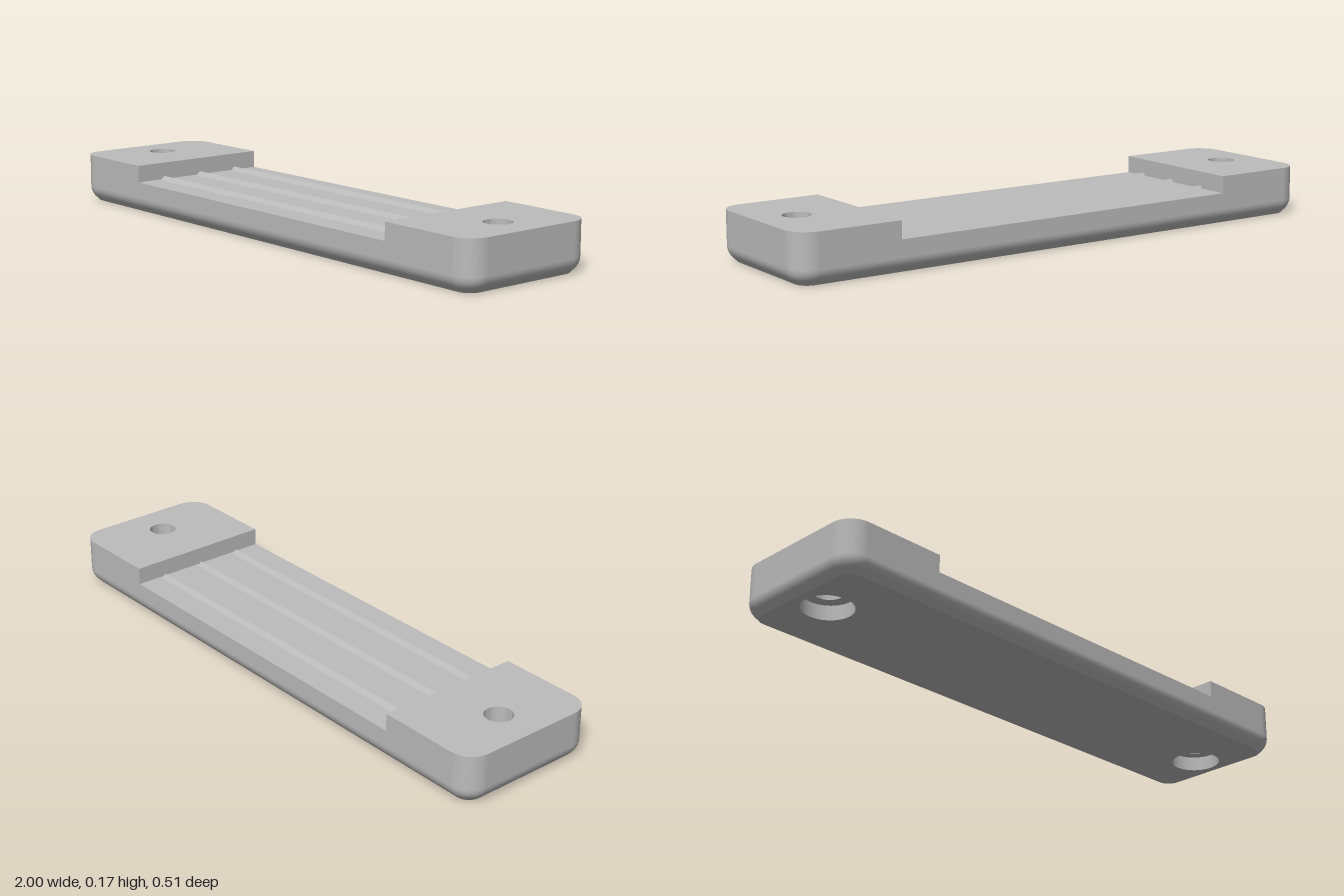
import * as THREE from 'three';
import { toCreasedNormals } from 'three/addons/utils/BufferGeometryUtils.js';

const HALF_X = 1, HALF_Z = 0.256, CORNER = 0.075;
const FLOOR_Y = 0.108, TOP_Y = 0.167, STEP_X = 0.643;
const EDGE = 0.0525;                       // rounded lower edge, ending in a 45 degree chamfer
const HOLE_X = 0.86, HOLE_R = 0.046, BORE_R = 0.084, BORE_DEPTH = 0.05;

// Rounded-rectangle corner arcs: centre x, z and direction of each point
function arcs(quadrants) {
  const out = [], n = 10;
  for (const q of quadrants) {
    for (let i = 0; i <= n; i++) {
      const a = (q + i / n) * Math.PI / 2;
      const mid = (q + 0.5) * Math.PI / 2;
      out.push({
        cx: Math.sign(Math.cos(mid)) * (HALF_X - CORNER),
        cz: Math.sign(Math.sin(mid)) * (HALF_Z - CORNER),
        dx: Math.cos(a), dz: Math.sin(a),
      });
    }
  }
  return out;
}

const at = (p, inset) => [p.cx + p.dx * (CORNER - inset), p.cz + p.dz * (CORNER - inset)];

// Side wall swept along a path through rows of { inset, y, tilt }
function wall(path, rows) {
  const pos = [], nor = [], idx = [], n = path.length;
  for (const r of rows) {
    for (const p of path) {
      const [x, z] = at(p, r.inset);
      pos.push(x, r.y, z);
      nor.push(p.dx * Math.cos(r.tilt), -Math.sin(r.tilt), p.dz * Math.cos(r.tilt));
    }
  }
  for (let j = 0; j < rows.length - 1; j++) {
    for (let i = 0; i < n - 1; i++) {
      const a = j * n + i, b = a + n;
      idx.push(a, b, a + 1, a + 1, b, b + 1);
    }
  }
  const g = new THREE.BufferGeometry();
  g.setAttribute('position', new THREE.Float32BufferAttribute(pos, 3));
  g.setAttribute('normal', new THREE.Float32BufferAttribute(nor, 3));
  g.setIndex(idx);
  return g;
}

// Flat horizontal face with round holes, facing up or down
function face(points, holeXs, radius, y, up) {
  const s = new THREE.Shape(points.map(([x, z]) => new THREE.Vector2(x, z)));
  for (const x of holeXs) s.holes.push(new THREE.Path().absarc(x, 0, radius, 0, Math.PI * 2, true));
  return new THREE.ShapeGeometry(s, 20).rotateX(up ? -Math.PI / 2 : Math.PI / 2).translate(0, y, 0);
}

export function createModel() {
  const model = new THREE.Group();
  const grey = new THREE.MeshStandardMaterial({ color: 0xbcbcbc });
  grey.name = 'grey';
  const add = (name, geometry, parent = model) => {
    const m = new THREE.Mesh(geometry, grey);
    m.name = name;
    parent.add(m);
    return m;
  };

  // Base wall: chamfer, rounded edge, then straight up to the recess floor
  const loop = arcs([0, 1, 2, 3]);
  const rows = [{ inset: 2 * EDGE * (1 - Math.SQRT1_2), y: 0, tilt: Math.PI / 4 }];
  for (let i = 0; i <= 6; i++) {
    const t = (1 - i / 6) * Math.PI / 4;
    rows.push({ inset: EDGE * (1 - Math.cos(t)), y: EDGE * (1 - Math.sin(t)), tilt: t });
  }
  rows.push({ inset: 0, y: FLOOR_Y, tilt: 0 });
  add('baseWall', wall([...loop, loop[0]], rows));
  add('underside', face(loop.map((p) => at(p, rows[0].inset)), [HOLE_X, -HOLE_X], BORE_R, 0, false));

  // Recess floor between the raised ends
  add('recessFloor', new THREE.PlaneGeometry(2 * STEP_X, 2 * HALF_Z)
    .rotateX(-Math.PI / 2).translate(0, FLOOR_Y, 0));

  // Three triangular grip ribs
  const section = new THREE.Shape([
    new THREE.Vector2(-0.016, -0.002), new THREE.Vector2(0.016, -0.002), new THREE.Vector2(0, 0.014),
  ]);
  for (const z of [-0.155, 0, 0.155]) {
    const rib = new THREE.ExtrudeGeometry(section, { depth: 1.26, bevelEnabled: false });
    add('gripRib', rib.translate(0, 0, -0.63).rotateY(Math.PI / 2)).position.set(0, FLOOR_Y, z);
  }

  // Raised ends with counterbored screw holes
  const edge = [
    { cx: STEP_X, cz: -HALF_Z + CORNER, dx: 0, dz: -1 },
    ...arcs([3, 0]),
    { cx: STEP_X, cz: HALF_Z - CORNER, dx: 0, dz: 1 },
  ];
  const bore = [
    [HOLE_R, TOP_Y], [HOLE_R, BORE_DEPTH], [BORE_R, BORE_DEPTH], [BORE_R, 0],
  ].map(([r, y]) => new THREE.Vector2(r, y));
  for (const side of ['left', 'right']) {
    const end = new THREE.Group();
    end.name = side + 'End';
    if (side === 'right') end.rotation.y = Math.PI;
    model.add(end);
    add('endWall', wall(edge, [{ inset: 0, y: FLOOR_Y, tilt: 0 }, { inset: 0, y: TOP_Y, tilt: 0 }]), end);
    add('endTop', face(edge.map((p) => at(p, 0)), [HOLE_X], HOLE_R, TOP_Y, true), end);
    add('endStep', new THREE.PlaneGeometry(2 * HALF_Z, TOP_Y - FLOOR_Y)
      .rotateY(-Math.PI / 2).translate(STEP_X, (TOP_Y + FLOOR_Y) / 2, 0), end);
    add('screwHole', toCreasedNormals(new THREE.LatheGeometry(bore, 40), 0.6)
      .translate(HOLE_X, 0, 0), end);
  }
  return model;
}
